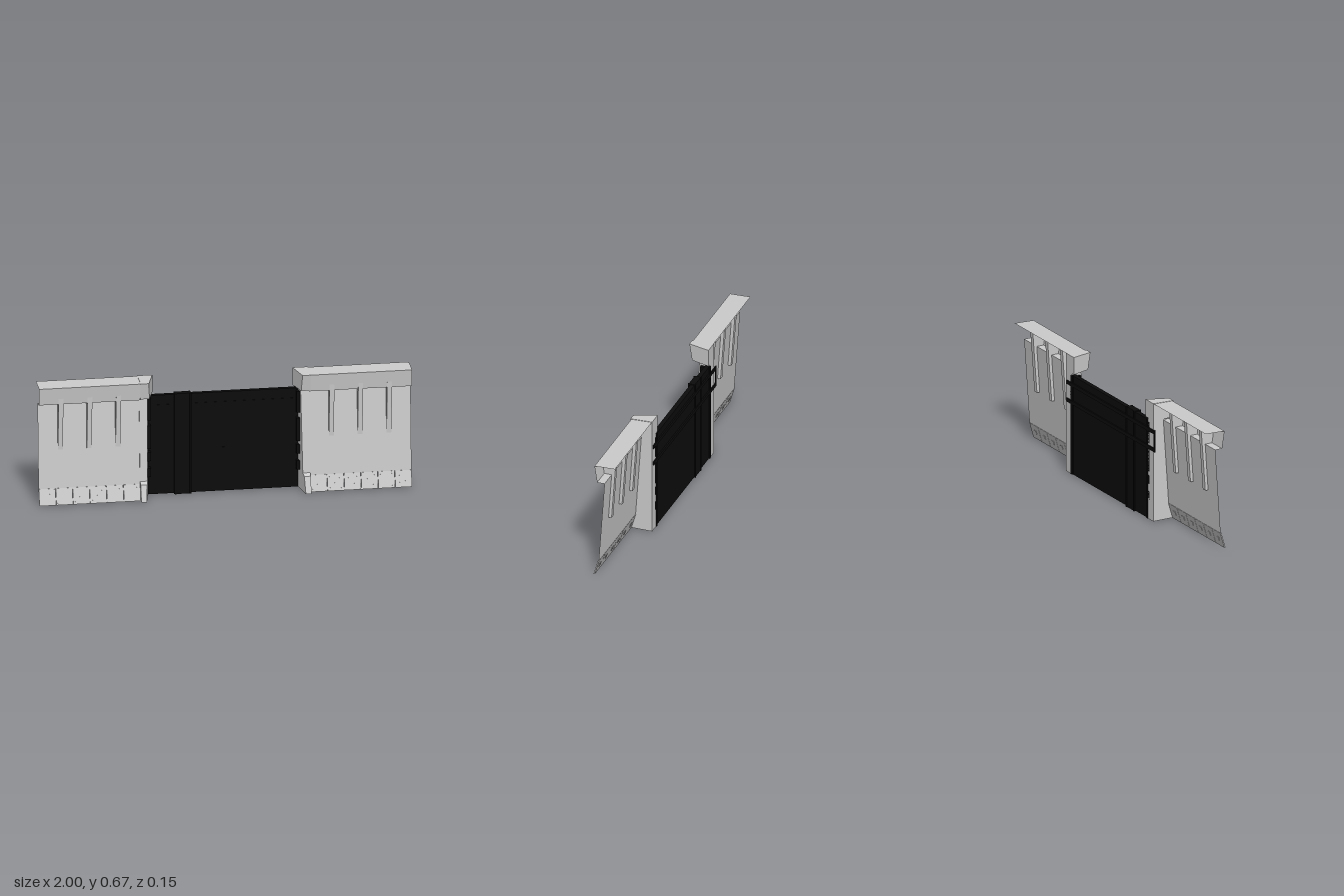
import * as THREE from 'three';

const grey = new THREE.MeshStandardMaterial({ color: 0xcccccc, flatShading: true });
const sheetGrey = new THREE.MeshStandardMaterial({ color: 0xcccccc, flatShading: true, side: THREE.DoubleSide });
const black = new THREE.MeshStandardMaterial({ color: 0x0c0c0c, flatShading: true });

function add(parent, name, geometry, material = grey) {
  const mesh = new THREE.Mesh(geometry, material);
  mesh.name = name;
  parent.add(mesh);
  return mesh;
}

// Box given by its limits on each axis
function block(parent, name, x0, x1, y0, y1, z0, z1, material = black) {
  const g = new THREE.BoxGeometry(Math.abs(x1 - x0), y1 - y0, z1 - z0);
  g.translate((x0 + x1) / 2, (y0 + y1) / 2, (z0 + z1) / 2);
  return add(parent, name, g, material);
}

// Side profile of [z, y] points extruded along x, centred on x = 0
function profileSolid(points, width) {
  const shape = new THREE.Shape(points.map(([z, y]) => new THREE.Vector2(z, y)));
  const g = new THREE.ExtrudeGeometry(shape, { depth: width, bevelEnabled: false });
  return g.rotateY(-Math.PI / 2).translate(width / 2, 0, 0);
}

// Side profile as an open sheet between two x positions
function profileSheet(points, x0, x1) {
  const g = new THREE.PlaneGeometry(1, 1, 1, points.length - 1);
  const p = g.attributes.position;
  for (let i = 0; i < p.count; i++) {
    const [z, y] = points[Math.floor(i / 2)];
    p.setXYZ(i, i % 2 ? x1 : x0, y, z);
  }
  g.computeVertexNormals();
  return g;
}

// Solid whose inner side slants from xBack (z = -0.07) to xFront (z = 0.07)
function slantedSolid(points, side, outer, xBack, xFront) {
  const g = profileSolid(points, 1);
  const p = g.attributes.position;
  for (let i = 0; i < p.count; i++) {
    const inner = THREE.MathUtils.mapLinear(p.getZ(i), -0.07, 0.07, xBack, xFront);
    const k = 0.5 + side * p.getX(i);
    p.setX(i, side * THREE.MathUtils.lerp(inner, outer, k));
  }
  g.computeVertexNormals();
  return g;
}

function wallSection(side) {
  const wall = new THREE.Group();
  wall.name = side > 0 ? 'leftWall' : 'rightWall';
  const xs = [side * 0.45, side].sort((a, b) => a - b);

  // Leaning wall sheet that folds out into the hollow cornice and coping
  add(wall, 'wallSheet', profileSheet([
    [-0.07, 0.665], [0.046, 0.661], [0.031, 0.565], [-0.011, 0.565], [0.022, 0.088],
  ], xs[0], xs[1]), sheetGrey);

  // Tapered ribs passing through the sheet
  for (const x of [0.572, 0.726, 0.881]) {
    const rib = profileSolid([[0.04, 0.645], [-0.035, 0.645], [-0.01, 0.303], [0.012, 0.303]], 0.026);
    add(wall, 'rib', rib.translate(side * x, 0, 0));
  }

  // Slanted plinth with a row of cross-braced tiles
  const plinth = new THREE.Group();
  plinth.name = 'plinth';
  plinth.position.set(0, 0.047, 0.0365);
  plinth.rotation.x = -0.283;
  wall.add(plinth);
  const n = 6, pitch = 0.545 / n;
  for (let i = 0; i < n; i++) {
    const x = side * (0.455 + (i + 0.5) * pitch);
    block(plinth, 'tile', x - pitch / 2 + 0.001, x + pitch / 2 - 0.001, -0.045, 0.045, -0.0035, 0.003, grey);
    for (const a of [-1, 1]) {
      const brace = add(plinth, 'tileBrace', new THREE.BoxGeometry(0.115, 0.004, 0.0015));
      brace.position.set(x, 0, 0.003);
      brace.rotation.z = a * Math.PI / 4;
    }
    block(plinth, 'tileBoss', x - 0.011, x + 0.011, -0.011, 0.011, -0.006, -0.003, grey);
  }

  // Gate pillar with a spreading foot and an overhanging cap
  add(wall, 'pillar', slantedSolid([
    [-0.072, 0.003], [0.075, 0.003], [0.05, 0.093], [0.027, 0.105], [-0.008, 0.575], [-0.072, 0.575],
  ], side, 0.456, 0.398, 0.425));
  add(wall, 'pillarCap', slantedSolid([
    [-0.072, 0.57], [0.033, 0.57], [0.051, 0.663], [-0.072, 0.667],
  ], side, 0.456, 0.376, 0.418));
  return wall;
}

function gate() {
  const g = new THREE.Group();
  g.name = 'gate';
  block(g, 'panel', -0.405, 0.405, 0.004, 0.56, -0.07, -0.046);

  // Interlocking teeth along both upright edges
  for (const s of [-1, 1]) {
    for (const [y0, y1] of [[0.11, 0.16], [0.2, 0.25], [0.27, 0.4], [0.43, 0.55]]) {
      block(g, 'edgeTooth', s * 0.39, s * 0.414, y0, y1, -0.072, -0.018);
    }
    // Upright stiles on the back
    block(g, 'backStile', s * 0.385, s * 0.402, 0.004, 0.56, -0.076, -0.07);
  }

  // Strap around the panel
  block(g, 'strap', -0.262, -0.172, 0, 0.565, -0.073, -0.038);
  for (const x of [-0.26, -0.18]) block(g, 'strapEdge', x, x + 0.008, 0, 0.565, -0.077, -0.034);

  // Sliding rails on the back, joined at one end
  for (const y of [0.41, 0.51]) block(g, 'rail', -0.475, 0.445, y - 0.01, y + 0.01, -0.078, -0.07);
  block(g, 'railEnd', -0.48, -0.468, 0.4, 0.52, -0.078, -0.072);

  // Small latch and trim on the front
  block(g, 'latch', -0.012, 0.012, 0.1, 0.25, -0.047, -0.044);
  block(g, 'topTrim', -0.39, 0.39, 0.5, 0.506, -0.047, -0.044);
  return g;
}

export function createModel() {
  const model = new THREE.Group();
  model.name = 'gatedWall';
  model.add(wallSection(1), wallSection(-1), gate());
  return model;
}
